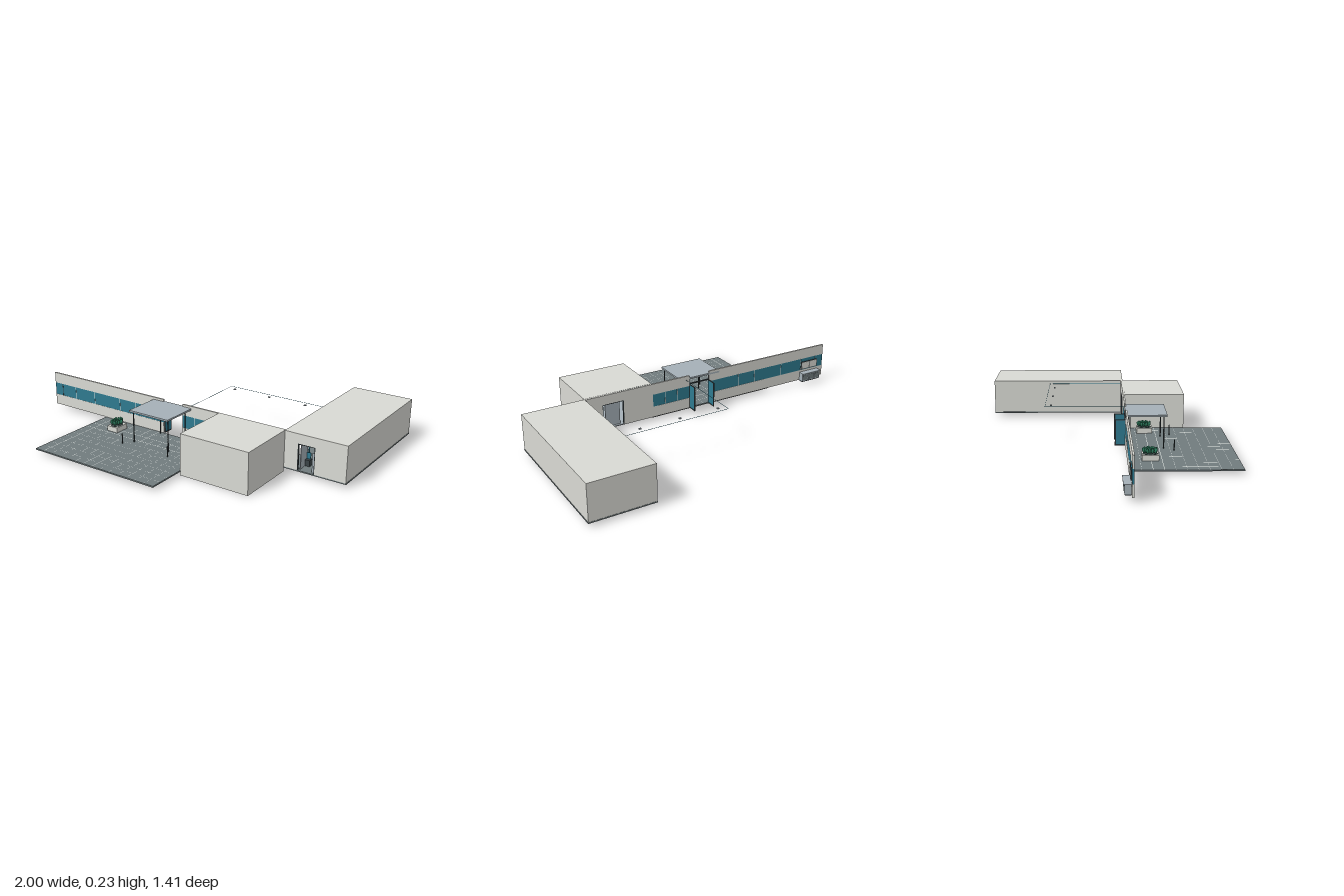
import * as THREE from 'three';

const mat = (name, color) => {
  const m = new THREE.MeshStandardMaterial({ color });
  m.name = name;
  return m;
};

export function createModel() {
  const root = new THREE.Group();
  root.name = 'buildingEntrance';
  const wall = mat('concrete', 0xd9dad4);
  const glass = mat('tealGlass', 0x2f7a8f);
  const paving = mat('paving', 0x717c7e);
  const dark = mat('darkMetal', 0x3a4346);
  const metal = mat('canopyMetal', 0xa5b0b7);
  const white = mat('lightJoint', 0xeef0ec);
  const leaf = mat('foliage', 0x2f8060);
  const soil = mat('soil', 0x3c4a48);

  const add = (name, geo, material, parent = root) => {
    const m = new THREE.Mesh(geo, material);
    m.name = name;
    parent.add(m);
    return m;
  };
  // box from its limits on each axis
  const box = (name, material, x0, x1, y0, y1, z0, z1, parent = root) => {
    const m = add(name, new THREE.BoxGeometry(x1 - x0, y1 - y0, z1 - z0), material, parent);
    m.position.set((x0 + x1) / 2, (y0 + y1) / 2, (z0 + z1) / 2);
    return m;
  };
  const post = (name, x, z, y0, y1, r) => {
    const m = add(name, new THREE.CylinderGeometry(r, r, y1 - y0, 10), dark);
    m.position.set(x, (y0 + y1) / 2, z);
  };
  // box shell without one side (0 +x, 1 -x, 2 +y, 3 -y, 4 +z, 5 -z)
  const shell = (name, skip, x0, x1, y0, y1, z0, z1) => {
    const m = box(name, wall, x0, x1, y0, y1, z0, z1);
    const index = [...m.geometry.index.array];
    index.splice(skip * 6, 6);
    m.geometry.setIndex(index);
    m.geometry.clearGroups();
  };

  // front block
  shell('frontBlock', 5, 0.229, 0.642, 0.002, 0.236, 0.12, 0.475);
  box('frontBlockFloor', metal, 0.235, 0.636, 0.025, 0.03, 0.12, 0.468);

  // side wing, with a doorway in its front wall
  shell('sideWing', 4, 0.64, 0.998, 0.03, 0.234, -0.703, 0.122);
  box('wingPlinth', paving, 0.638, 1, 0.023, 0.03, -0.704, 0.122);
  const wingFront = new THREE.Shape();
  wingFront.moveTo(0.64, 0.03).lineTo(0.72, 0.03).lineTo(0.72, 0.18).lineTo(0.82, 0.18);
  wingFront.lineTo(0.82, 0.03).lineTo(0.998, 0.03).lineTo(0.998, 0.234).lineTo(0.64, 0.234);
  add('wingFrontWall', new THREE.ShapeGeometry(wingFront), wall).position.z = 0.122;

  // door frames and leaves
  const doorway = (name, x0, x1, z0, z1) => {
    const g = new THREE.Group();
    g.name = name;
    root.add(g);
    const t = 0.004;
    for (const x of [x0, x1 - t]) box('doorJamb', dark, x, x + t, 0.03, 0.18, z0, z1, g);
    box('doorHead', dark, x0, x1, 0.176, 0.18, z0, z1, g);
  };
  doorway('wingDoor', 0.72, 0.82, 0.11, 0.122);
  const wingLeaf = box('wingDoorLeaf', metal, 0.726, 0.73, 0.032, 0.174, 0.02, 0.11);
  wingLeaf.rotation.y = 0.1;
  box('wingDesk', dark, 0.725, 0.755, 0.03, 0.065, 0.02, 0.05);
  box('wingDeskPanel', glass, 0.727, 0.75, 0.065, 0.1, 0.025, 0.03);
  box('wingGlassStrip', glass, 0.768, 0.774, 0.13, 0.175, 0.09, 0.095);
  box('wingDoorSidePanel', metal, 0.797, 0.814, 0.03, 0.14, 0.1, 0.105);
  doorway('rearDoor', 0.41, 0.54, 0.11, 0.12);
  box('rearDoorPanel', metal, 0.425, 0.515, 0.03, 0.165, 0.135, 0.14);

  // long wall with window bands
  const wz0 = 0.11, wz1 = 0.12;
  const windowWall = (name, x0, x1, mullions) => {
    const g = new THREE.Group();
    g.name = name;
    root.add(g);
    box('wallBelowWindow', wall, x0, x1, 0.03, 0.095, wz0, wz1, g);
    box('wallAboveWindow', wall, x0, x1, 0.17, 0.235, wz0, wz1, g);
    box('windowBand', glass, x0, x1, 0.095, 0.17, wz0 + 0.001, wz1 - 0.001, g);
    for (const x of mullions) box('mullion', white, x - 0.0015, x + 0.0015, 0.095, 0.17, wz0, wz1, g);
  };
  windowWall('leftWindowWall', -1, -0.15, [-0.83, -0.675, -0.476, -0.358]);
  windowWall('rightWindowWall', -0.015, 0.225, [0.065, 0.145]);
  box('darkMullion', dark, -0.942, -0.938, 0.095, 0.17, wz0, wz1);
  box('wallBesideDoor', wall, 0.225, 0.41, 0.03, 0.235, wz0, wz1);
  box('wallOverDoor', wall, 0.41, 0.54, 0.18, 0.235, wz0, wz1);
  box('wallCorner', wall, 0.54, 0.64, 0.03, 0.235, wz0, wz1);

  // open glass doors under a header
  for (const x of [-0.15, -0.021]) {
    box('entranceDoorGlass', glass, x + 0.001, x + 0.004, 0.035, 0.175, 0.055, 0.11);
    for (const z of [0.052, 0.108]) box('entranceDoorStile', dark, x, x + 0.005, 0.03, 0.18, z, z + 0.006);
    for (const y of [0.03, 0.176]) box('entranceDoorRail', dark, x, x + 0.005, y, y + 0.004, 0.052, 0.114);
  }
  box('entranceHeader', dark, -0.152, -0.013, 0.18, 0.185, 0.11, 0.12);
  box('noticePanel', white, -0.19, -0.172, 0.13, 0.148, 0.12, 0.122);

  // canopy on posts
  box('canopyRoof', metal, -0.22, 0.045, 0.212, 0.222, 0.11, 0.338);
  for (const x of [-0.205, 0.034]) {
    post('canopyPost', x, 0.32, 0.03, 0.212, 0.0035);
    post('canopyRearPost', x < 0 ? -0.162 : 0.012, 0.135, 0.03, 0.212, 0.003);
  }
  for (const x of [-0.245, 0.07]) post('bollard', x, 0.375, 0.03, 0.09, 0.003);

  // paved forecourt: one flat top whose narrow cells are the joints
  box('forecourt', paving, -0.59, 0.23, 0.022, 0.0298, 0.12, 0.704);
  const lines = (start, end, count, wide) => {
    const out = [start], step = (end - start) / count;
    for (let i = 1; i < count; i++) {
      const c = start + i * step, w = wide.includes(i) ? 0.0013 : 0.0005;
      out.push(c - w, c + w);
    }
    return [...out, end];
  };
  const xs = lines(-0.59, 0.23, 14, [1]);
  const zs = lines(0.12, 0.704, 10, [2, 3]);
  const top = new THREE.PlaneGeometry(1, 1, xs.length - 1, zs.length - 1);
  const p = top.attributes.position;
  for (let i = 0; i < p.count; i++) {
    p.setXYZ(i, xs[i % xs.length], 0.03, zs[Math.floor(i / xs.length)]);
  }
  const slabCells = [], jointCells = [];
  for (let c = 0; c < top.index.count / 6; c++) {
    const col = c % (xs.length - 1), row = Math.floor(c / (xs.length - 1));
    const target = col % 2 || row % 2 ? jointCells : slabCells;
    for (let k = 0; k < 6; k++) target.push(top.index.getX(c * 6 + k));
  }
  top.setIndex([...slabCells, ...jointCells]);
  top.addGroup(0, slabCells.length, 0);
  top.addGroup(slabCells.length, jointCells.length, 1);
  top.computeVertexNormals();
  add('forecourtPaving', top, [paving, white]);

  // planters with leafy bushes
  for (const x of [-0.404, 0.14]) {
    const g = new THREE.Group();
    g.name = 'planter';
    g.position.set(x, 0.03, 0.233);
    root.add(g);
    box('planterBox', wall, -0.035, 0.035, 0, 0.03, -0.045, 0.045, g);
    const bed = add('planterSoil', new THREE.CylinderGeometry(0.03, 0.03, 0.002, 20), soil, g);
    bed.position.y = 0.031;
    bed.scale.z = 1.35;
    for (let i = 0; i < 16; i++) {
      const a = i * 2.4, r = 0.006 + 0.022 * Math.sqrt(i / 16);
      const b = add('bushLeaf', new THREE.SphereGeometry(0.008, 8, 6), leaf, g);
      b.scale.y = 2;
      b.position.set(Math.cos(a) * r, 0.05, Math.sin(a) * r * 1.3);
      b.rotation.set(Math.sin(a) * 0.35, 0, -Math.cos(a) * 0.35);
    }
  }

  // thin frame line with lamps behind the wall
  box('rearLine', glass, 0.01, 0.64, 0.214, 0.2155, -0.3455, -0.344);
  for (const x of [0.01, 0.637]) box('sideLine', glass, x, x + 0.0015, 0.214, 0.2155, -0.344, 0.11);
  for (const x of [0.055, 0.29, 0.525]) box('ceilingLamp', metal, x - 0.006, x + 0.006, 0.211, 0.217, -0.316, -0.306);

  // counter and wall panel at the far end
  for (let i = 0; i < 3; i++) {
    const x = -0.958 + i * 0.046;
    box('cabinet', metal, x, x + 0.043, 0.032, 0.078, 0.076, 0.109);
    box('cabinetFront', paving, x + 0.004, x + 0.039, 0.038, 0.072, 0.074, 0.076);
    box('counterTop', metal, x - 0.002, x + 0.044, 0.078, 0.082, 0.07, 0.11);
  }
  box('counterBase', dark, -0.957, -0.823, 0.026, 0.032, 0.078, 0.11);
  box('panelFrame', dark, -0.955, -0.83, 0.1, 0.15, 0.105, 0.109);
  for (const x of [-0.951, -0.891]) box('panelBoard', wall, x, x + 0.056, 0.104, 0.146, 0.103, 0.105);
  return root;
}
